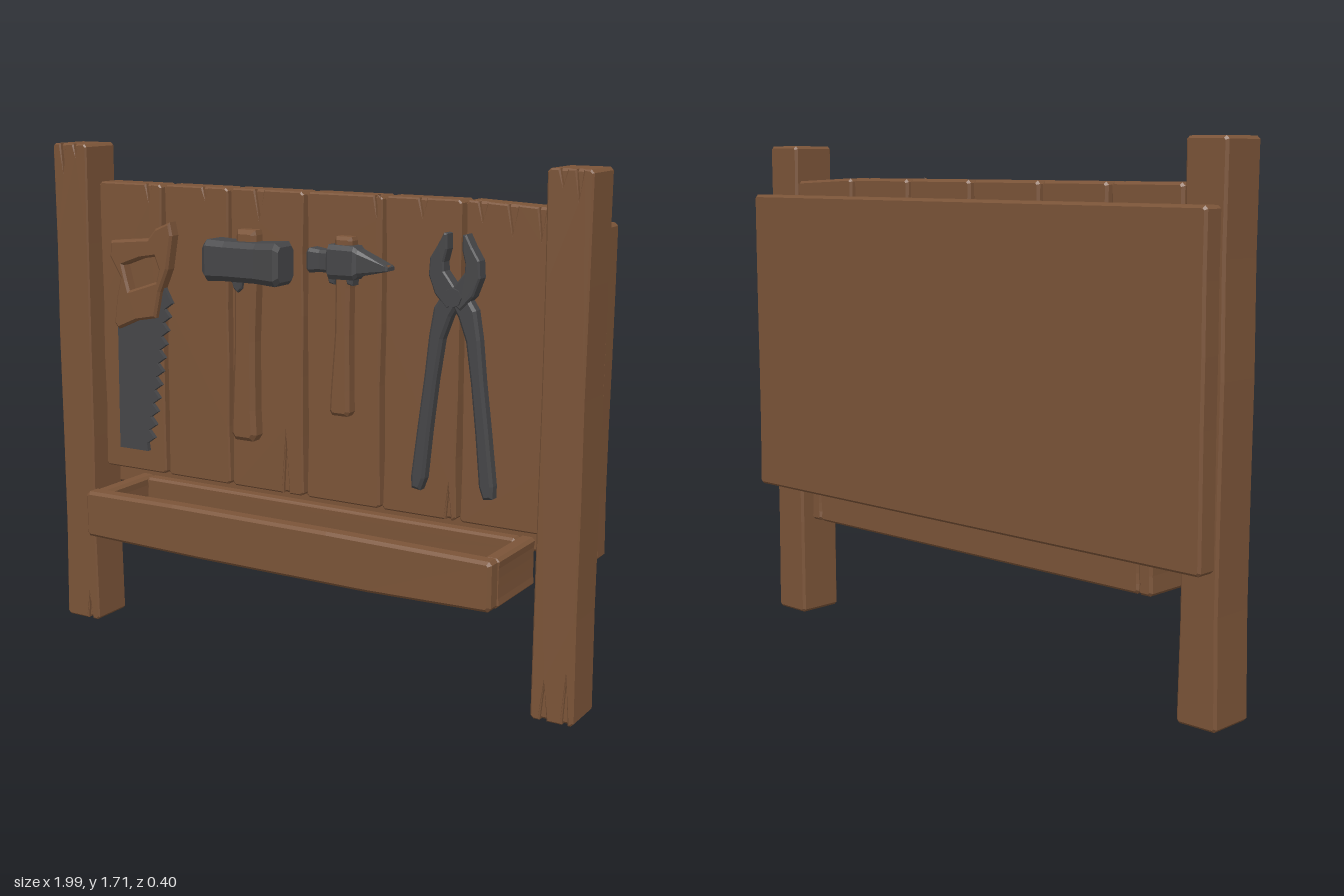
import * as THREE from 'three';

export function createModel() {
  const root = new THREE.Group();
  const wood = new THREE.MeshStandardMaterial({ color: 0x7b5438 });
  wood.name = 'wood';
  const metal = new THREE.MeshStandardMaterial({ color: 0x464648 });
  metal.name = 'dark metal';

  let seed = 7;
  const jitter = (a) => {
    seed = (seed * 16807) % 2147483647;
    return (seed / 2147483647 - 0.5) * 2 * a;
  };

  const group = (name, parent = root) => {
    const g = new THREE.Group();
    g.name = name;
    parent.add(g);
    return g;
  };

  // Chamfered slab cut from an outline, spanning z0..z1
  function slab(name, pts, z0, z1, mat, parent, { bevel = 0.008, hole } = {}) {
    const shape = new THREE.Shape(pts.map(([x, y]) => new THREE.Vector2(x, y)));
    if (hole) shape.holes.push(new THREE.Path(hole.map(([x, y]) => new THREE.Vector2(x, y))));
    const geo = new THREE.ExtrudeGeometry(shape, {
      depth: z1 - z0 - 2 * bevel, bevelEnabled: bevel > 0, bevelThickness: bevel,
      bevelSize: bevel, bevelOffset: -bevel, bevelSegments: 1, curveSegments: 4,
    });
    geo.translate(0, 0, z0 + bevel);
    const mesh = new THREE.Mesh(geo, mat);
    mesh.name = name;
    parent.add(mesh);
    return mesh;
  }

  // Rough timber: a full core plus a thin face layer with V-shaped cracks.
  // Cracks are [x fraction, half width, depth] on the top or bottom edge.
  function timber(name, x0, x1, y0, y1, z0, z1, parent, { top = [], bottom = [], rough = 0.004, drop = 0 } = {}) {
    const g = group(name, parent);
    const c = 0.01, w = x1 - x0, left = [], right = [];
    for (let i = 1; i < 5; i++) {
      right.push([x1 - Math.abs(jitter(rough)), y0 + (y1 - y0) * i / 5]);
      left.unshift([x0 + Math.abs(jitter(rough)), y0 + (y1 - y0) * i / 5]);
    }
    const outline = (cracked) => {
      const b = [], t = [];
      if (cracked) {
        for (const [f, h, d] of bottom) {
          const x = x0 + w * f;
          b.push([x - h, y0], [x, y0 + d], [x + h, y0]);
        }
        for (const [f, h, d] of top) {
          const x = x0 + w * f, y = y1 - drop * f;
          t.unshift([x + h, y], [x, y - d], [x - h, y]);
        }
      }
      return [[x0 + c, y0], ...b, [x1 - c, y0], [x1, y0 + c], ...right, [x1, y1 - c - drop],
        [x1 - c, y1 - drop], ...t, [x0 + c, y1], [x0, y1 - c], ...left, [x0, y0 + c]];
    };
    const cracked = top.length + bottom.length > 0;
    slab(name + 'Core', outline(false), z0, cracked ? z1 - 0.014 : z1, wood, g);
    if (cracked) slab(name + 'Face', outline(true), z1 - 0.03, z1, wood, g, { bevel: 0.005 });
    return g;
  }

  // Flat rod following [x, y, half width] stations
  function rod(name, path, z0, z1, mat, parent, bevel) {
    const l = [], r = [];
    path.forEach(([x, y, h], i) => {
      const a = path[Math.max(i - 1, 0)], b = path[Math.min(i + 1, path.length - 1)];
      const dx = b[0] - a[0], dy = b[1] - a[1], n = Math.hypot(dx, dy);
      l.push([x - dy / n * h, y + dx / n * h]);
      r.unshift([x + dy / n * h, y - dx / n * h]);
    });
    return slab(name, [...l, ...r].reverse(), z0, z1, mat, parent, { bevel });
  }

  // Upright posts
  timber('rightPost', -0.993, -0.848, 0.01, 1.72, -0.11, 0.05, root,
    { top: [[0.3, 0.012, 0.1], [0.68, 0.01, 0.04]], bottom: [[0.72, 0.01, 0.1]], rough: 0.007 });
  timber('leftPost', 0.85, 0.993, 0.01, 1.7, -0.11, 0.05, root,
    { top: [[0.35, 0.012, 0.05], [0.7, 0.011, 0.09]], bottom: [[0.3, 0.012, 0.13], [0.8, 0.01, 0.17]], rough: 0.007 });

  // Row of tool-board planks
  const planks = group('toolBoardPlanks');
  const edges = [[-0.845, -0.58], [-0.567, -0.308], [-0.297, -0.015], [-0.002, 0.274], [0.284, 0.548], [0.562, 0.845]];
  const cracks = [
    { top: [[0.8, 0.012, 0.06]] },
    { top: [[0.65, 0.012, 0.04]] },
    { top: [[0.4, 0.018, 0.1]], bottom: [[0.76, 0.012, 0.22]] },
    { top: [[0.93, 0.01, 0.07]] },
    { top: [[0.5, 0.014, 0.06]], bottom: [[0.9, 0.01, 0.12]] },
    { top: [[0.2, 0.014, 0.06], [0.55, 0.016, 0.09], [0.88, 0.012, 0.1]], drop: 0.012 },
  ];
  edges.forEach(([a, b], i) => timber('plank' + (i + 1), a, b, 0.582, 1.59, -0.11, -0.014, planks, { ...cracks[i], rough: 0.006 }));

  // Large rear panel
  timber('backPanel', -0.99, 0.98, 0.49, 1.53, -0.198, -0.122, root, { rough: 0.004 });

  // Shelf tray
  const tray = group('tray');
  slab('trayFront', [[-0.76, 0.382], [-0.3, 0.374], [0.35, 0.372], [0.765, 0.382], [0.775, 0.395], [0.775, 0.53],
    [0.765, 0.541], [0.2, 0.546], [-0.4, 0.546], [-0.755, 0.542], [-0.768, 0.53], [-0.768, 0.395]],
  0.143, 0.203, wood, tray, { bevel: 0.01 });
  timber('trayRightEnd', -0.768, -0.715, 0.378, 0.537, -0.13, 0.146, tray);
  timber('trayLeftEnd', 0.722, 0.775, 0.378, 0.537, -0.13, 0.146, tray);
  timber('trayBack', -0.72, 0.727, 0.378, 0.535, -0.13, -0.08, tray);
  timber('trayFloor', -0.72, 0.727, 0.378, 0.42, -0.085, 0.13, tray);

  // Saw
  const saw = group('saw');
  slab('sawHandle', [[-0.74, 1.09], [-0.66, 1.125], [-0.58, 1.14], [-0.56, 1.23], [-0.525, 1.31], [-0.505, 1.425],
    [-0.515, 1.47], [-0.575, 1.445], [-0.605, 1.41], [-0.765, 1.395], [-0.77, 1.34], [-0.727, 1.27], [-0.745, 1.2], [-0.757, 1.11]],
  -0.015, 0.035, wood, saw, {
    hole: [[-0.714, 1.313], [-0.64, 1.34], [-0.58, 1.35], [-0.563, 1.307], [-0.575, 1.265], [-0.69, 1.227], [-0.7, 1.26]],
  });
  const blade = [[-0.757, 1.15], [-0.76, 0.662], [-0.638, 0.662]];
  for (let i = 0; i < 11; i++) {
    const t = i / 10, x = -0.628 + 0.085 * t, y = 0.69 + 0.48 * t;
    blade.push([x - 0.014, y], [x + 0.018, y + 0.022]);
  }
  blade.push([-0.555, 1.245], [-0.6, 1.2]);
  slab('sawBlade', blade, -0.005, 0.012, metal, saw, { bevel: 0 });

  // Chamfered hammer block made from [x, half height, half depth] cross-sections
  function block(name, sections, cy, cz, parent) {
    const pos = [], idx = [], N = 8, k = 0.72;
    const ring = [[1, k], [k, 1], [-k, 1], [-1, k], [-1, -k], [-k, -1], [k, -1], [1, -k]];
    for (const [x, h, d, dy = 0] of sections) for (const [z, y] of ring) pos.push(x, cy + dy + y * h, cz + z * d);
    const last = (sections.length - 1) * N;
    for (let s = 0; s < last; s += N) for (let i = 0; i < N; i++) {
      const a = s + i, b = s + (i + 1) % N;
      idx.push(a, a + N, b, b, a + N, b + N);
    }
    for (let i = 1; i < N - 1; i++) idx.push(0, i, i + 1, last, last + i + 1, last + i);
    // orient every triangle outward from the block's centre line
    const g = new THREE.BufferGeometry();
    g.setAttribute('position', new THREE.Float32BufferAttribute(pos, 3));
    const v = (i) => new THREE.Vector3().fromArray(pos, i * 3);
    const mid = new THREE.Vector3((sections[0][0] + sections.at(-1)[0]) / 2, cy, cz);
    for (let i = 0; i < idx.length; i += 3) {
      const a = v(idx[i]), b = v(idx[i + 1]), c = v(idx[i + 2]);
      const n = b.clone().sub(a).cross(c.clone().sub(a));
      const axis = i < last * 6 ? new THREE.Vector3(a.x, cy, cz) : mid;
      if (n.dot(a.clone().add(b).add(c).divideScalar(3).sub(axis)) < 0) [idx[i + 1], idx[i + 2]] = [idx[i + 2], idx[i + 1]];
    }
    g.setIndex(idx);
    const flat = g.toNonIndexed();
    flat.computeVertexNormals();
    const mesh = new THREE.Mesh(flat, metal);
    mesh.name = name;
    parent.add(mesh);
  }

  // Sledge hammer
  const sledge = group('sledgeHammer');
  block('sledgeHead', [[-0.336, 0.052, 0.045], [-0.318, 0.068, 0.058], [-0.25, 0.065, 0.055], [-0.13, 0.065, 0.055],
    [-0.055, 0.07, 0.059], [-0.04, 0.056, 0.047]], 1.363, 0.051, sledge);
  rod('sledgeHandle', [[-0.205, 0.763, 0.035], [-0.205, 0.785, 0.049], [-0.205, 0.87, 0.045], [-0.2, 1.1, 0.039],
    [-0.195, 1.29, 0.042], [-0.19, 1.45, 0.038], [-0.19, 1.465, 0.034]], 0, 0.065, wood, sledge, 0.014);
  slab('sledgeWedge', [[-0.235, 1.305], [-0.225, 1.275], [-0.21, 1.262], [-0.195, 1.275], [-0.19, 1.305]], 0.045, 0.08, metal, sledge, { bevel: 0.004 });

  // Cross-peen hammer
  const hammer = group('crossPeenHammer');
  block('hammerHead', [[0.038, 0.033, 0.026], [0.048, 0.04, 0.033], [0.085, 0.035, 0.03], [0.112, 0.036, 0.03], [0.12, 0.055, 0.036],
    [0.21, 0.053, 0.036], [0.222, 0.042, 0.03], [0.322, 0.01, 0.026, -0.01], [0.33, 0.006, 0.022, -0.012]], 1.382, 0.026, hammer);
  rod('hammerHandle', [[0.153, 0.885, 0.028], [0.153, 0.9, 0.037], [0.154, 0.97, 0.034], [0.16, 1.15, 0.026],
    [0.162, 1.3, 0.026], [0.165, 1.45, 0.032], [0.165, 1.462, 0.028]], -0.01, 0.045, wood, hammer, 0.011);
  for (const x of [0.128, 0.194]) {
    slab('hammerCheek', [[x - 0.014, 1.345], [x - 0.01, 1.315], [x + 0.01, 1.31], [x + 0.014, 1.345]], 0.005, 0.05, metal, hammer, { bevel: 0.004 });
  }

  // Tongs: two mirrored levers with a hinge
  const tongs = group('tongs');
  for (const s of [-1, 1]) {
    const lever = group(s < 0 ? 'rightLever' : 'leftLever', tongs);
    const at = (pts) => pts.map(([x, y, h]) => [0.552 + s * x, y, h]);
    rod('tongHandle', at([[0.0, 1.315, 0.03], [0.042, 1.25, 0.032], [0.063, 1.17, 0.024], [0.08, 1.04, 0.021],
      [0.1, 0.88, 0.022], [0.118, 0.72, 0.024], [0.125, 0.68, 0.016]]), -0.012, 0.034, metal, lever, 0.009);
    rod('tongJaw', at([[0.0, 1.28, 0.03], [0.038, 1.325, 0.034], [0.062, 1.37, 0.027], [0.061, 1.41, 0.024],
      [0.043, 1.45, 0.017], [0.033, 1.492, 0.006]]), s < 0 ? -0.012 : -0.006, s < 0 ? 0.036 : 0.042, metal, lever, 0.005);
  }
  const hinge = new THREE.Mesh(new THREE.CylinderGeometry(0.03, 0.036, 0.06, 8).toNonIndexed(), metal);
  hinge.geometry.computeVertexNormals();
  hinge.name = 'tongHinge';
  hinge.rotation.x = Math.PI / 2;
  hinge.position.set(0.552, 1.3, 0.018);
  tongs.add(hinge);

  return root;
}
